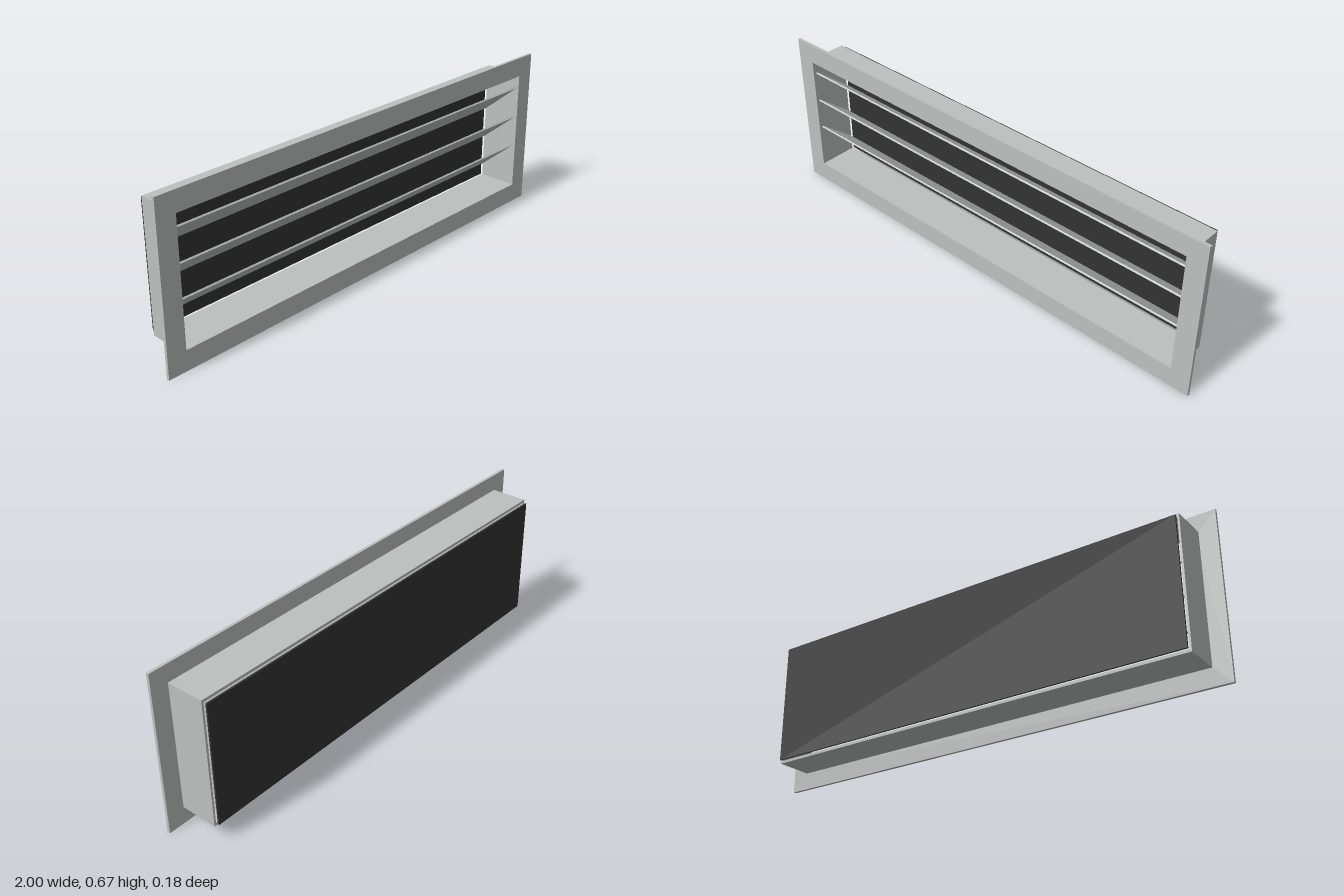
import * as THREE from 'three';

const CY = 0.334; // height of the centre line

// Rectangular ring extruded along z from z0 to z1
function frame(name, width, height, holeW, holeH, z0, z1, material) {
  const rect = (target, w, h) => {
    target.moveTo(-w / 2, -h / 2);
    target.lineTo(w / 2, -h / 2);
    target.lineTo(w / 2, h / 2);
    target.lineTo(-w / 2, h / 2);
    target.closePath();
    return target;
  };
  const shape = rect(new THREE.Shape(), width, height);
  shape.holes.push(rect(new THREE.Path(), holeW, holeH));
  const geometry = new THREE.ExtrudeGeometry(shape, { depth: z1 - z0, bevelEnabled: false });
  const mesh = new THREE.Mesh(geometry, material);
  mesh.name = name;
  mesh.position.set(0, CY, z0);
  return mesh;
}

export function createModel() {
  const group = new THREE.Group();
  group.name = 'ventGrille';

  const metal = new THREE.MeshStandardMaterial({ color: 0xbcc0bf });
  metal.name = 'light grey metal';
  const mesh = new THREE.MeshStandardMaterial({ color: 0x333333 });
  mesh.name = 'dark grey screen';

  // Front flange and the duct sleeve behind it
  group.add(frame('flange', 2, 0.668, 1.842, 0.505, 0.079, 0.091, metal));
  group.add(frame('sleeve', 1.858, 0.526, 1.842, 0.505, -0.075, 0.079, metal));

  // Three slanted blades, front edge high
  const bladeGeometry = new THREE.BoxGeometry(1.842, 0.007, 0.2);
  for (let i = -1; i <= 1; i++) {
    const blade = new THREE.Mesh(bladeGeometry, metal);
    blade.name = 'blade';
    blade.position.set(0, CY + 0.002 + i * 0.132, 0);
    blade.rotation.x = -THREE.MathUtils.degToRad(40);
    group.add(blade);
  }

  // Dark screen floating just behind the sleeve
  const screen = new THREE.Mesh(new THREE.BoxGeometry(1.842, 0.505, 0.007), mesh);
  screen.name = 'rearScreen';
  screen.position.set(0, CY, -0.0872);
  group.add(screen);

  return group;
}
